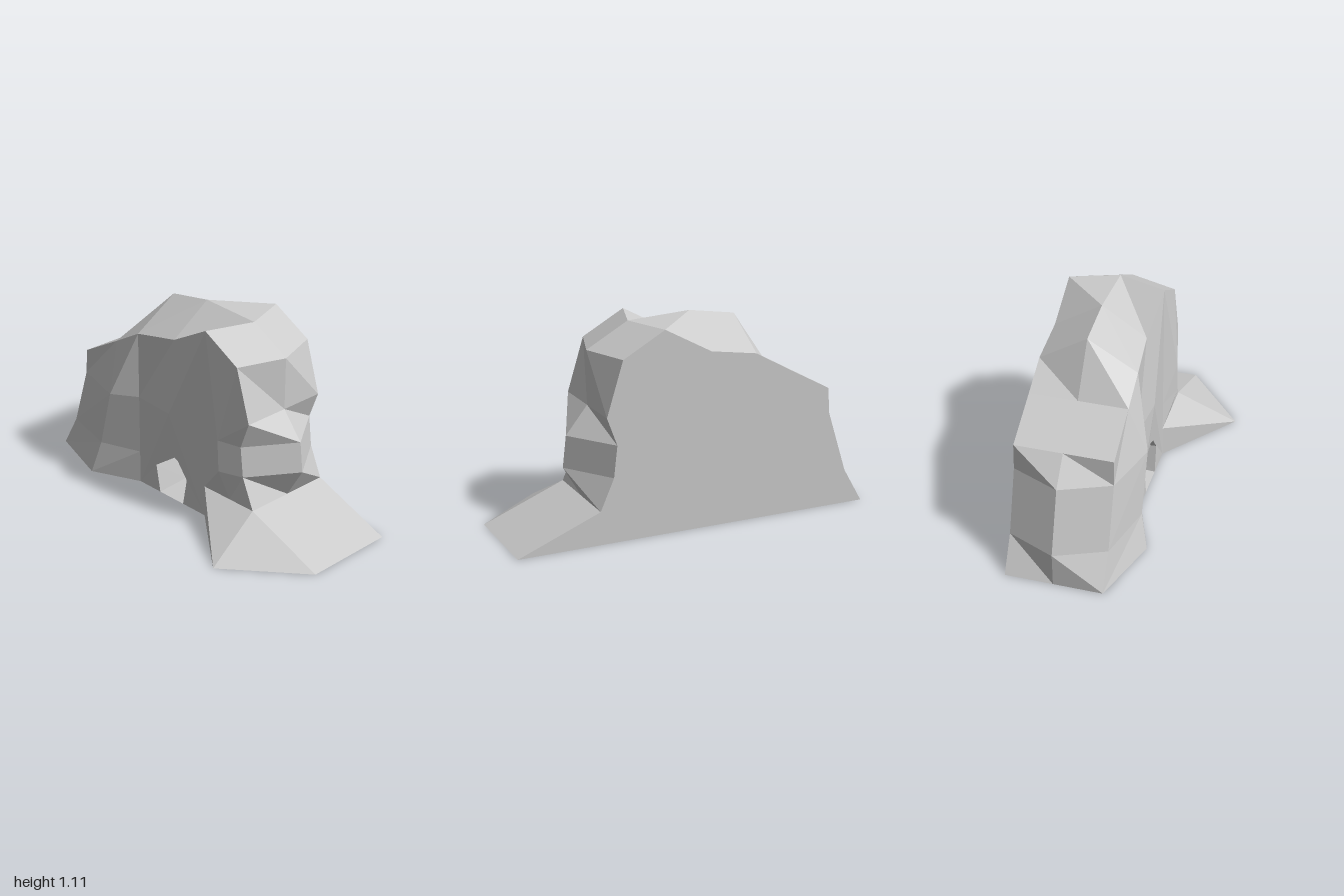
import * as THREE from 'three';

const BACK = -0.43, MID = -0.17, FRONT = 0.095;
const material = new THREE.MeshStandardMaterial({ color: 0xcccccc, flatShading: true });

// Mesh from flat polygons, corners counter-clockwise seen from outside
function faceMesh(name, polygons) {
  const pos = [];
  for (const p of polygons)
    for (let i = 1; i < p.length - 1; i++) pos.push(...p[0], ...p[i], ...p[i + 1]);
  const geo = new THREE.BufferGeometry();
  geo.setAttribute('position', new THREE.Float32BufferAttribute(pos, 3));
  geo.computeVertexNormals();
  return named(name, geo);
}

function named(name, geo) {
  const mesh = new THREE.Mesh(geo, material);
  mesh.name = name;
  return mesh;
}

// Quads between two matching outlines
const loft = (a, b) => a.slice(1).map((p, i) => [a[i], p, b[i + 1], b[i]]);

const flat = (pts) => new THREE.ShapeGeometry(new THREE.Shape(pts.map(([x, y]) => new THREE.Vector2(x, y))));

export function createModel() {
  const group = new THREE.Group();

  // Hill outlines from left foot over the top to the ramp
  const endXY = [[-1, 0], [-0.89, 0.19], [-0.78, 0.53], [-0.77, 0.67], [-0.51, 0.81], [-0.33, 0.91], [-0.07, 0.95],
    [0.19, 1.09], [0.42, 0.96], [0.51, 0.67], [0.455, 0.52], [0.475, 0.35], [0.55, 0.18]];
  const midXY = [[-1, 0], [-1, 0.19], [-0.89, 0.53], [-0.77, 0.67], [-0.51, 0.81], [-0.33, 1.07], [-0.07, 1.11],
    [0.28, 1.09], [0.51, 0.96], [0.51, 0.67], [0.63, 0.52], [0.65, 0.35], [0.55, 0.18]];
  const at = (pts, z) => pts.map(([x, y]) => [x, y, z]);
  const F = at(endXY, FRONT), M = at(midXY, MID), B = at(endXY, BACK);
  F[6][2] = 0.07;
  group.add(faceMesh('hillShell', [...loft(F, M), ...loft(M, B)]));

  // Front wall: left buttress, centre strip and right buttress
  const L = [[-0.61, 0, 0.22], [-0.565, 0.19, 0.18], [-0.47, 0.53, 0.185]];
  const C = [[-0.33, 0, FRONT], [-0.33, 0.19, FRONT], [-0.33, 0.53, FRONT]];
  const D = [[0.19, 0.18, FRONT], [0.19, 0.35, FRONT], [0.19, 0.53, FRONT]];
  const R = [[0.38, 0.18, FRONT], [0.34, 0.35, 0.14], [0.33, 0.53, 0.14]];
  const brow = [-0.07, 0.53, 0.115];
  group.add(faceMesh('leftButtress', [
    [F[0], L[0], L[1], F[1]], [F[1], L[1], L[2], F[2]], [F[2], L[2], F[4], F[3]],
    [L[0], C[0], C[1], L[1]], [L[1], C[1], C[2], L[2]], [L[2], C[2], F[5], F[4]],
  ]));
  group.add(faceMesh('upperWall', [[C[2], brow, F[6], F[5]], [brow, D[2], F[7], F[6]]]));
  group.add(faceMesh('rightButtress', [
    [D[2], R[2], F[7]], [R[2], F[8], F[7]], [R[2], F[9], F[8]], [R[2], F[10], F[9]],
    [R[1], F[11], F[10], R[2]], [R[0], F[12], F[11], R[1]],
    [D[1], R[1], R[2], D[2]], [D[0], R[0], R[1], D[1]],
  ]));

  // Wall around the cave mouth, with its top middle pushed out to the brow
  const mouth = [[-0.165, 0], [-0.195, 0.16], [-0.13, 0.25], [-0.07, 0.27], [-0.02, 0.25], [0.05, 0.16], [0.02, 0]];
  const wall = flat([[-0.33, 0], ...mouth, [0.19, 0], [0.19, 0.53], [-0.07, 0.53], [-0.33, 0.53]]);
  const p = wall.attributes.position;
  for (let i = 0; i < p.count; i++) {
    const isBrow = Math.abs(p.getX(i) + 0.07) < 0.001 && p.getY(i) > 0.5;
    p.setZ(i, isBrow ? brow[2] : FRONT);
  }
  group.add(named('caveWall', wall));

  // Cave recess, facing inward
  const rim = at(mouth, FRONT);
  const inner = mouth.map(([x, y]) => [-0.07 + (x + 0.07) * 0.95, 0.015 + y * 0.87, -0.1]);
  group.add(faceMesh('cave', [
    ...loft([...inner, inner[0]], [...rim, rim[0]]),
    [...inner].reverse(),
  ]));

  // Ramp running down to the left and front
  const tip = [0.6, 0, 0.43], foot = [1, 0, FRONT];
  group.add(faceMesh('ramp', [
    [D[0], [0.19, 0, FRONT], tip, R[0]],
    [R[0], tip, F[12]], [F[12], tip, foot],
    [F[12], foot, [1, 0, BACK], B[12]],
  ]));

  // Flat back and underside
  const back = flat([...endXY, [1, 0]].map(([x, y]) => [-x, y])).rotateY(Math.PI).translate(0, 0, BACK);
  group.add(named('back', back));
  const base = flat([[-1, BACK], [1, BACK], [1, FRONT], [0.6, 0.43], [0.19, FRONT], [-0.33, FRONT], [-0.61, 0.22], [-1, FRONT]]);
  group.add(named('base', base.rotateX(Math.PI / 2)));

  return group;
}
